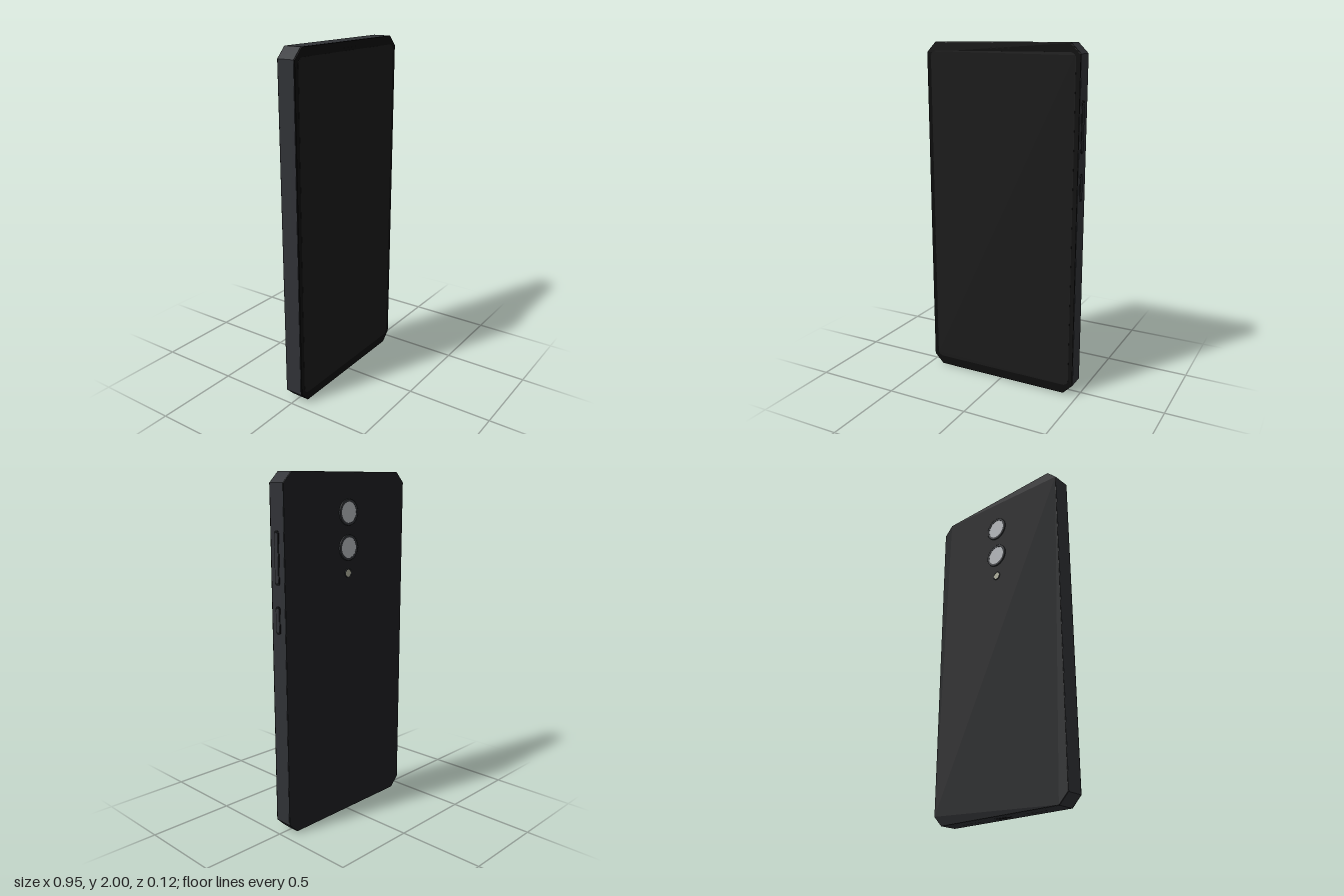
import * as THREE from 'three';

const mat = (color) => new THREE.MeshStandardMaterial({ color });
const frameMat = mat(0x303236);
const bezelMat = mat(0x0d0d0d);
const backMat = mat(0x1d1e20);
const screenMat = mat(0x1a1a1a);
const darkMat = mat(0x111214);
const lensMat = mat(0xb0b3b7);
const flashMat = mat(0xaaaa98);

const LEFT = 0.468, RIGHT = -0.475, BOTTOM = 0.002, TOP = 2;
const MID = (LEFT + RIGHT) / 2;

// Rectangle with 45 degree cut corners
function cutOutline(cut) {
  return new THREE.Shape([
    [RIGHT + cut, BOTTOM], [LEFT - cut, BOTTOM], [LEFT, BOTTOM + cut], [LEFT, TOP - cut],
    [LEFT - cut, TOP], [RIGHT + cut, TOP], [RIGHT, TOP - cut], [RIGHT, BOTTOM + cut],
  ].map(([x, y]) => new THREE.Vector2(x, y)));
}

// Rounded rectangle centred on the origin
function roundOutline(w, h, r) {
  const s = new THREE.Shape();
  const x = w / 2 - r, y = h / 2 - r;
  s.absarc(x, y, r, 0, Math.PI / 2);
  s.absarc(-x, y, r, Math.PI / 2, Math.PI);
  s.absarc(-x, -y, r, Math.PI, Math.PI * 1.5);
  s.absarc(x, -y, r, Math.PI * 1.5, Math.PI * 2);
  return s;
}

// Extruded slab from z0 to z1 whose bevel stays inside the outline
function slab(shape, z0, z1, bevel = 0) {
  const g = new THREE.ExtrudeGeometry(shape, {
    depth: z1 - z0 - 2 * bevel, curveSegments: 8, bevelEnabled: bevel > 0,
    bevelSize: bevel, bevelOffset: -bevel, bevelThickness: bevel, bevelSegments: 2,
  });
  return g.translate(0, 0, z0 + bevel);
}

function add(parent, name, geometry, material, x = 0, y = 0, z = 0) {
  const m = new THREE.Mesh(geometry, material);
  m.name = name;
  m.position.set(x, y, z);
  parent.add(m);
  return m;
}

// Button on the model's left side, seated in a dark surround
function sideButton(name, y, length) {
  const g = new THREE.Group();
  g.name = name;
  const rim = slab(roundOutline(0.036, length, 0.014), -0.01, 0.002).rotateY(Math.PI / 2);
  const key = slab(roundOutline(0.024, length - 0.022, 0.01), -0.01, 0.005, 0.002).rotateY(Math.PI / 2);
  add(g, 'buttonSurround', rim, darkMat);
  add(g, 'buttonKey', key, frameMat);
  g.position.set(LEFT, y, 0.007);
  return g;
}

// Round camera: raised rim with a slightly sunken lens, facing -z
function camera(name, y, r, rise, glassMat) {
  const g = new THREE.Group();
  g.name = name;
  const inner = r * 0.8;
  const profile = [[r, -0.004], [r, rise - 0.001], [r - 0.002, rise], [inner, rise], [inner, rise - 0.002]]
    .map(([x, h]) => new THREE.Vector2(x, h));
  add(g, 'cameraRim', new THREE.LatheGeometry(profile, 40).rotateX(-Math.PI / 2), frameMat)
    .material.side = THREE.DoubleSide;
  add(g, 'cameraLens', new THREE.CircleGeometry(inner, 40).rotateY(Math.PI), glassMat, 0, 0, 0.002 - rise);
  g.position.set(MID, y, -0.053);
  return g;
}

export function createModel() {
  const phone = new THREE.Group();
  phone.name = 'phone';

  // Body: side frame between a front bezel and a back cover
  const outline = cutOutline(0.058);
  add(phone, 'frame', slab(outline, -0.048, 0.05), frameMat);
  add(phone, 'frontBezel', slab(outline, 0.05, 0.058, 0.0039), bezelMat);
  add(phone, 'backCover', slab(outline, -0.053, -0.048, 0.0024), backMat);

  // Screen and the row of earpiece holes above it
  add(phone, 'screen', slab(roundOutline(0.89, 1.895, 0.035), 0.055, 0.0588), screenMat, MID, 1.003);
  for (let i = 0; i < 4; i++) {
    add(phone, 'earpieceHole', new THREE.CircleGeometry(0.007, 12), mat(0x050505), MID + (i - 1.5) * 0.036, 1.968, 0.0585);
  }

  // Side buttons
  phone.add(sideButton('volumeButton', 1.56, 0.285));
  phone.add(sideButton('powerButton', 1.23, 0.152));

  // Rear cameras and flash
  phone.add(camera('upperCamera', 1.782, 0.072, 0.008, lensMat));
  phone.add(camera('lowerCamera', 1.588, 0.072, 0.008, lensMat));
  phone.add(camera('flash', 1.445, 0.026, 0.004, flashMat));

  // Charging port and speaker holes on the bottom edge
  const port = new THREE.Group();
  port.name = 'chargingPort';
  add(port, 'portRim', slab(roundOutline(0.11, 0.036, 0.016), -0.004, 0.001).rotateX(Math.PI / 2), frameMat);
  add(port, 'portOpening', slab(roundOutline(0.094, 0.024, 0.011), -0.004, 0.002).rotateX(Math.PI / 2), darkMat);
  port.position.set(MID, BOTTOM, 0.003);
  phone.add(port);
  for (const side of [-1, 1]) {
    for (let i = 0; i < 5; i++) {
      add(phone, 'speakerHole', new THREE.CircleGeometry(0.008, 12).rotateX(Math.PI / 2), darkMat,
        MID + side * (0.17 + i * 0.03), BOTTOM - 0.0008, 0.003);
    }
  }
  return phone;
}
